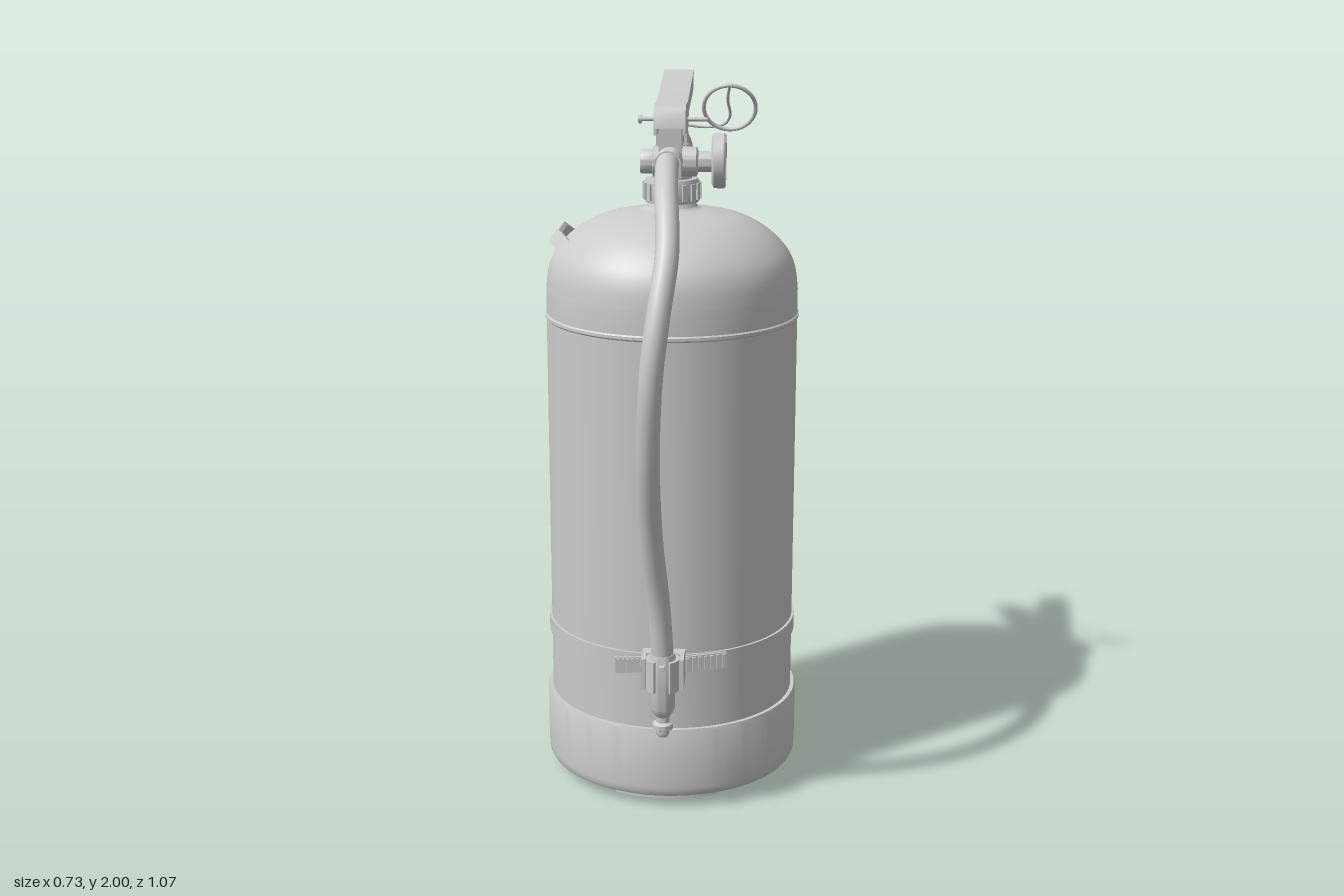
import * as THREE from 'three';
import { toCreasedNormals, mergeGeometries } from 'three/addons/utils/BufferGeometryUtils.js';

const grey = new THREE.MeshStandardMaterial({ color: 0xcccccc, side: THREE.DoubleSide });
const AXIS_Z = -0.127; // centre line of the cylinder
const V = (x, y, z) => new THREE.Vector3(x, y, z);

export function createModel() {
  const model = new THREE.Group();
  model.name = 'fireExtinguisher';

  const add = (name, geometry, x = 0, y = 0, z = 0) => {
    const mesh = new THREE.Mesh(geometry, grey);
    mesh.name = name;
    mesh.position.set(x, y, z);
    model.add(mesh);
    return mesh;
  };
  const lathe = (pts, segments = 64) => toCreasedNormals(
    new THREE.LatheGeometry(pts.map(([r, y]) => new THREE.Vector2(r, y)), segments), 0.6);
  const box = (w, h, d, x, y, z) => new THREE.BoxGeometry(w, h, d).translate(x, y, z);
  const tube = (pts, radius, segments, sides) =>
    new THREE.TubeGeometry(new THREE.CatmullRomCurve3(pts), segments, radius, sides);
  // Extrudes a side outline, given as [distance to the back, height], across x0..x1.
  const sidePlate = (pts, x0, x1) => {
    const shape = new THREE.Shape(pts.map(([d, y]) => new THREE.Vector2(d, y)));
    return toCreasedNormals(new THREE.ExtrudeGeometry(shape, { depth: x1 - x0, bevelEnabled: false })
      .rotateY(Math.PI / 2).translate(x0, 0, 0), 0.5);
  };
  const arc = (r0, r1, a0, a1, height) => {
    const shape = new THREE.Shape();
    shape.absarc(0, 0, r1, a0, a1, false);
    shape.absarc(0, 0, r0, a1, a0, true);
    return toCreasedNormals(new THREE.ExtrudeGeometry(shape,
      { depth: height, bevelEnabled: false, curveSegments: 20 }).rotateX(-Math.PI / 2), 0.5);
  };

  // Cylinder with weld seam, rounded shoulder and neck
  const shoulder = new THREE.SplineCurve([[0.353, 1.43], [0.345, 1.49], [0.322, 1.54], [0.27, 1.592],
    [0.2, 1.63], [0.12, 1.648], [0.078, 1.655], [0.066, 1.67]].map(p => new THREE.Vector2(...p)));
  add('cylinder', lathe([[0.353, 0.2], [0.353, 1.35], [0.357, 1.354], [0.357, 1.362], [0.353, 1.366],
    ...shoulder.getPoints(36).map(p => [p.x, p.y]), [0.066, 1.7], [0, 1.7]], 96), 0, 0, AXIS_Z);

  // Base skirt and its underside
  add('baseSkirt', lathe([[0, 0.03], [0.35, 0.03], [0.36, 0.034], [0.366, 0.045], [0.367, 0.06],
    [0.367, 0.232], [0.364, 0.24], [0.352, 0.24]], 96), 0, 0, AXIS_Z);
  for (let i = 0; i < 4; i++) {
    const a = i * Math.PI / 2;
    add('baseFoot', arc(0.284, 0.31, a - 0.49, a + 0.49, 0.035), 0, 0, AXIS_Z);
  }
  add('baseRing', lathe([[0.112, 0.035], [0.112, 0.012], [0.117, 0.008], [0.127, 0.008], [0.132, 0.012],
    [0.132, 0.035]], 48), 0, 0, AXIS_Z);

  // Ribbed neck collar
  add('neckCollar', lathe([[0.06, 1.672], [0.074, 1.672], [0.076, 1.68], [0.076, 1.725], [0.072, 1.737],
    [0.055, 1.737], [0.055, 1.76], [0.046, 1.77], [0.046, 1.83], [0, 1.83]], 40), 0, 0, AXIS_Z);
  const ribs = [];
  for (let i = 0; i < 18; i++) {
    ribs.push(box(0.012, 0.046, 0.014, 0.075, 1.703, 0).rotateY(i * Math.PI / 9));
  }
  add('collarRibs', mergeGeometries(ribs), 0, 0, AXIS_Z);

  // Valve body with cross tube, side port and pressure gauge
  add('valveBody', box(0.062, 0.15, 0.15, 0, 1.825, -0.095));
  const across = pts => lathe(pts, 40).rotateZ(-Math.PI / 2);
  add('valveCrossTube', across([[0, -0.084], [0.032, -0.084], [0.034, -0.08], [0.034, -0.05], [0.041, -0.048],
    [0.041, 0.07], [0.028, 0.075], [0.028, 0.117]]), 0, 1.787, -0.088);
  add('pressureGauge', across([[0, 0.112], [0.064, 0.112], [0.075, 0.118], [0.075, 0.145], [0.071, 0.15],
    [0.067, 0.15], [0.065, 0.146], [0, 0.146]]), 0, 1.79, -0.088);

  // Upper lever: a channel open below
  const top = [[0, 1.885], [0.007, 1.92], [0.02, 1.94], [0.04, 1.946], [0.15, 1.946], [0.3, 1.97], [0.49, 2]];
  const under = [[0.483, 1.986], [0.3, 1.957], [0.15, 1.933], [0.045, 1.933], [0.028, 1.928], [0.018, 1.91],
    [0.012, 1.885]];
  add('upperLeverPlate', sidePlate([...top, ...under], -0.042, 0.042));
  const upperWall = [...top, [0.455, 1.947], [0.4, 1.937], [0.2, 1.911], [0.17, 1.89], [0.155, 1.865], [0, 1.868]];
  for (const x of [-0.043, 0.035]) add('upperLeverWall', sidePlate(upperWall, x, x + 0.008));

  // Lower lever: a channel open above
  const palm = new THREE.SplineCurve([[0.1, 1.8], [0.2, 1.79], [0.27, 1.775], [0.34, 1.768], [0.39, 1.745],
    [0.445, 1.742], [0.5, 1.722], [0.533, 1.708]].map(p => new THREE.Vector2(...p))).getPoints(28);
  const rim = [[0.535, 1.715], [0.515, 1.738], [0.495, 1.765], [0.455, 1.785], [0.4, 1.803], [0.33, 1.822],
    [0.22, 1.845], [0.15, 1.868], [0.1, 1.868]];
  const palmLow = palm.map(p => [p.x, p.y]);
  const palmHigh = palm.map(p => [p.x, p.y + 0.011]).reverse();
  add('lowerLeverPlate', sidePlate([...palmLow, ...palmHigh], -0.04, 0.04));
  for (const x of [-0.042, 0.034]) add('lowerLeverWall', sidePlate([...palmLow, ...rim], x, x + 0.008));

  // Safety pin, pull ring and tether
  add('safetyPin', new THREE.CylinderGeometry(0.006, 0.006, 0.19, 12).rotateZ(Math.PI / 2), 0.002, 1.897, -0.13);
  add('pinHead', new THREE.CylinderGeometry(0.012, 0.012, 0.008, 16).rotateZ(Math.PI / 2), -0.088, 1.897, -0.13);
  add('pullRing', new THREE.TorusGeometry(0.071, 0.0055, 10, 48), 0.158, 1.93, -0.12).rotation.x = 0.49;
  add('tether', tube([V(0.04, 1.87, -0.225), V(0.09, 1.865, -0.23), V(0.14, 1.875, -0.215), V(0.157, 1.9, -0.19),
    V(0.152, 1.95, -0.14), V(0.158, 1.99, -0.088)], 0.004, 40, 8));

  // Hose with its ferrule
  add('hose', tube([V(0, 1.8, 0.03), V(0, 1.8, 0.1), V(0.006, 1.757, 0.25), V(0.017, 1.62, 0.4),
    V(0, 1.48, 0.475), V(-0.018, 1.32, 0.5), V(-0.028, 1.1, 0.467), V(-0.025, 0.86, 0.39),
    V(-0.01, 0.66, 0.333), V(0, 0.49, 0.312)], 0.031, 120, 20));
  const ferrule = [[0.02, -0.04], [0.026, -0.04], [0.026, -0.012], [0.036, -0.012]];
  for (const z of [0.012, 0.036, 0.06]) ferrule.push([0.036, z], [0.033, z + 0.002], [0.033, z + 0.006], [0.036, z + 0.008]);
  ferrule.push([0.036, 0.08], [0.028, 0.08]);
  add('hoseFerrule', lathe(ferrule, 24).rotateX(Math.PI / 2), 0, 1.8, 0);

  // Nozzle
  add('nozzle', lathe([[0, 0.258], [0.014, 0.258], [0.018, 0.266], [0.018, 0.276], [0.028, 0.282], [0.028, 0.296],
    [0.019, 0.302], [0.019, 0.318], [0.028, 0.33], [0.034, 0.345], [0.034, 0.4], [0.036, 0.41], [0.036, 0.49],
    [0.033, 0.504], [0.02, 0.504]], 28), 0, 0, 0.312);

  // Strap around the cylinder
  add('strap', lathe([[0.35, 0.419], [0.36, 0.419], [0.36, 0.465], [0.35, 0.465]], 96), 0, 0, AXIS_Z);
  // Nozzle holder: open clip on a mounting block
  add('holderClip', arc(0.036, 0.046, 0.5, 2 * Math.PI - 0.5, 0.09).rotateY(-Math.PI / 2), 0, 0.4, 0.315);
  add('holderBlock', mergeGeometries([
    box(0.116, 0.08, 0.036, 0, 0.442, 0.246), box(0.05, 0.07, 0.03, 0, 0.442, 0.268),
    box(0.012, 0.09, 0.07, -0.052, 0.445, 0.295), box(0.012, 0.09, 0.07, 0.052, 0.445, 0.295),
    box(0.014, 0.012, 0.09, 0, 0.476, 0.32)]));

  // Toothed strap tails either side of the block
  const tail = (x0, z0, x1, z1, count) => {
    const angle = -Math.atan2(z1 - z0, x1 - x0);
    const length = Math.hypot(x1 - x0, z1 - z0);
    const parts = [box(length, 0.046, 0.007, 0, 0, 0)];
    for (let i = 0; i < count; i++) {
      parts.push(box(length / count * 0.5, 0.04, 0.008, ((i + 0.5) / count - 0.5) * length, 0, 0.006));
    }
    add('strapTail', mergeGeometries(parts), (x0 + x1) / 2, 0.442, (z0 + z1) / 2).rotation.y = angle;
  };
  tail(-0.135, 0.258, -0.055, 0.249, 6);
  tail(0.055, 0.243, 0.17, 0.202, 7);

  // Hanging bracket on the right shoulder
  const t = 0.012;
  const outer = [[-0.125, 0], [-0.095, 0.005], [-0.07, 0.05], [0.07, 0.05], [0.095, 0.005], [0.125, 0]];
  const inner = [[0.125, -t], [0.088, -t + 0.004], [0.064, 0.05 - t], [-0.064, 0.05 - t], [-0.088, -t + 0.004],
    [-0.125, -t]];
  const strapShape = new THREE.Shape([...outer, ...inner].map(p => new THREE.Vector2(...p)));
  const bracket = new THREE.ExtrudeGeometry(strapShape, { depth: 0.045, bevelEnabled: false }).translate(0, 0, -0.0225);
  bracket.applyMatrix4(new THREE.Matrix4().makeBasis(V(0, 0, 1), V(-0.74, 0.673, 0), V(-0.673, -0.74, 0)));
  add('hangingBracket', bracket, -0.287, 1.55, -0.13);

  return model;
}
